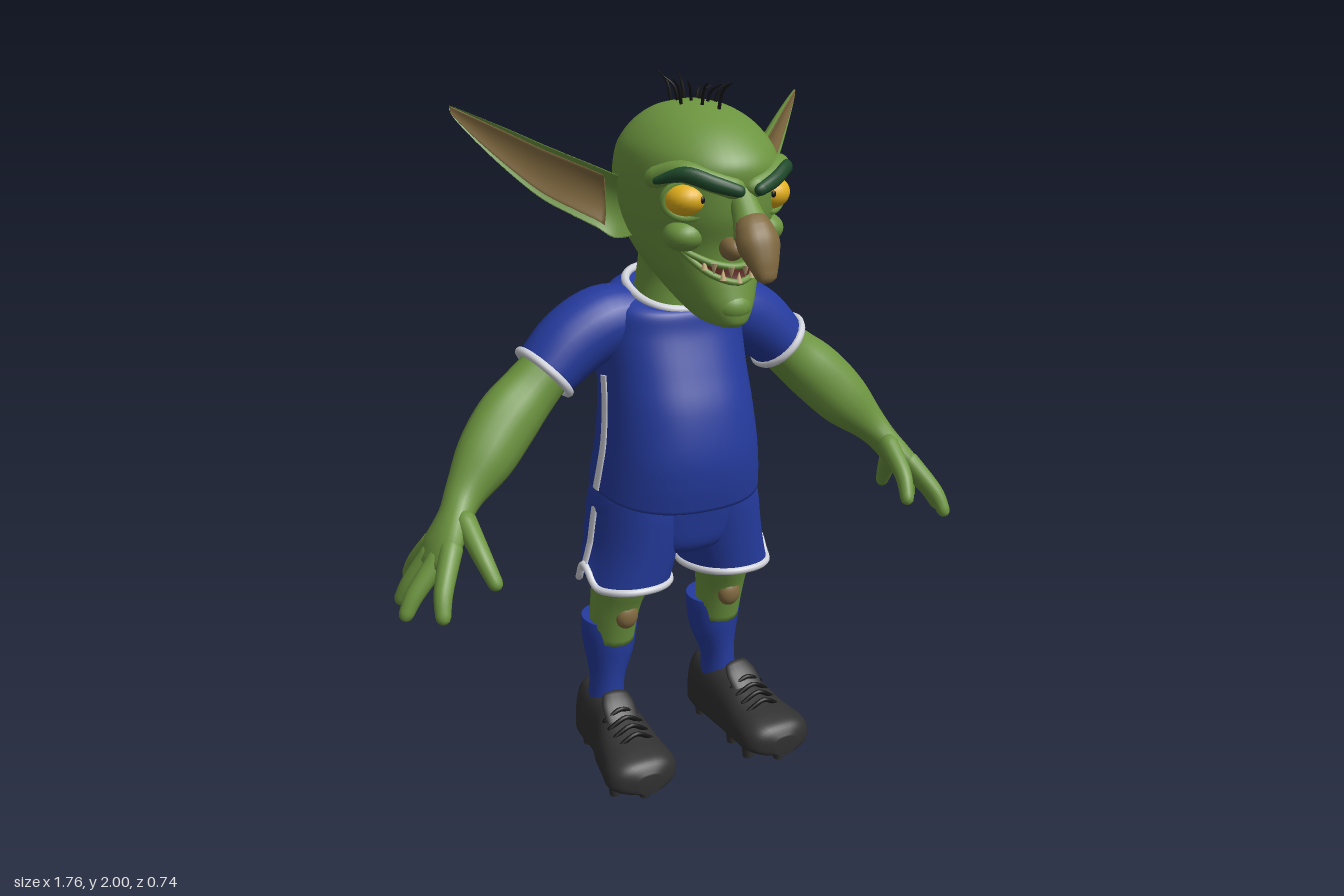
import * as THREE from 'three';

const V = (x, y, z) => new THREE.Vector3(x, y, z);
const mat = (name, color, side = THREE.FrontSide) => {
  const m = new THREE.MeshStandardMaterial({ color, side });
  m.name = name;
  return m;
};

// Catmull-Rom interpolation of rows of numbers
function dense(rows, steps = 5) {
  const out = [], n = rows.length - 1;
  for (let k = 0; k <= n * steps; k++) {
    const i = Math.min(Math.floor(k / steps), n - 1), t = k / steps - i;
    const b = rows[i], c = rows[i + 1], a = rows[Math.max(i - 1, 0)], d = rows[Math.min(i + 2, n)];
    out.push(b.map((v, q) => v + 0.5 * t * (c[q] - a[q]
      + t * (2 * a[q] - 5 * v + 4 * c[q] - d[q] + t * (3 * (v - c[q]) + d[q] - a[q])))));
  }
  return out;
}

// Closed skin over a list of rings, capped at both ends
function loft(rings) {
  const n = rings[0].length, m = rings.length, pos = [], idx = [];
  const mid = r => r.reduce((s, p) => s.add(p), V(0, 0, 0)).divideScalar(n);
  [...rings.flat(), mid(rings[0]), mid(rings[m - 1])].forEach(p => pos.push(p.x, p.y, p.z));
  for (let i = 0; i < n; i++) {
    const k = (i + 1) % n;
    for (let j = 0; j < m - 1; j++) {
      const a = j * n + i, b = j * n + k;
      idx.push(a, a + n, b, b, a + n, b + n);
    }
    idx.push(m * n, i, k, m * n + 1, (m - 1) * n + k, (m - 1) * n + i);
  }
  const g = new THREE.BufferGeometry();
  g.setAttribute('position', new THREE.Float32BufferAttribute(pos, 3));
  g.setIndex(idx);
  g.computeVertexNormals();
  return g;
}

const ring = (n, f) => Array.from({ length: n }, (_, i) => f(2 * Math.PI * i / n));
const spow = (v, e) => Math.sign(v) * Math.abs(v) ** e;

// Horizontal sections: [y, half width, back z, front z, tilt, centre x]
function bodyRings(rows, e = 0.95, notch = 0) {
  const all = dense(rows, 6);
  return all.map(([y, hw, zb, zf, tilt = 0, xc = 0], j) => ring(48, a => {
    const zc = zb + 0.45 * (zf - zb), s = spow(Math.sin(a), e);
    const z = zc + s * (s > 0 ? zf - zc : zc - zb);
    const da = Math.min(a, 2 * Math.PI - a);
    const lift = notch * Math.exp(-((da / 0.25) ** 2)) * Math.max(0, 1 - 2.5 * j / (all.length - 1));
    return V(xc + hw * spow(Math.cos(a), e), y + tilt * (z - zc) + lift, z);
  }));
}

// Swept limb: [x, y, z, radius along ref, radius across]
function limbRings(rows, ref = V(0, 0, 1), round = 1, sides = 16) {
  const d = dense(rows), n = d.length, out = [];
  const P = i => V(...d[Math.min(Math.max(i, 0), n - 1)].slice(0, 3));
  const add = (i, k) => {
    const t = P(i + 1).sub(P(i - 1)).normalize(), [, , , ra, rb] = d[i];
    const A = ref.clone().addScaledVector(t, -ref.dot(t)).normalize(), B = A.clone().cross(t);
    const c = P(i).addScaledVector(t, Math.sin(k) * Math.min(ra, rb)), f = Math.cos(k);
    out.push(ring(sides, a => c.clone().addScaledVector(A, ra * f * Math.cos(a)).addScaledVector(B, rb * f * Math.sin(a))));
  };
  if (round) [-1.5, -1.1, -0.6].forEach(k => add(0, k));
  for (let i = 0; i < n; i++) add(i, 0);
  if (round) [0.6, 1.1, 1.5].forEach(k => add(n - 1, k));
  return out;
}
const limb = (...args) => loft(limbRings(...args));
const trim = (pts, r) => new THREE.TubeGeometry(new THREE.CatmullRomCurve3(pts, true), 72, r, 8, true);
const ball = (x, y, z, sx, sy, sz) => new THREE.SphereGeometry(1, 24, 16).scale(sx, sy, sz).translate(x, y, z);

export function createModel() {
  const root = new THREE.Group();
  const skin = mat('green skin', 0x6c943f), brown = mat('brown skin', 0x80693f), blue = mat('blue cloth', 0x253b9e);
  const white = mat('white trim', 0xd2d4dc), shoe = mat('dark shoe', 0x303030), yellow = mat('yellow eye', 0xe2b01c);
  const browGreen = mat('dark green brow', 0x1f4a2b), mouthRed = mat('dark red mouth', 0x5c2620, THREE.DoubleSide);
  const tooth = mat('tooth', 0xc0a878), black = mat('black', 0x121212);
  const add = (name, geo, m) => {
    const o = new THREE.Mesh(geo, m);
    o.name = name;
    root.add(o);
  };
  const both = (name, geo, m) => {
    const g = geo.clone().scale(-1, 1, 1), ix = g.index.array;
    for (let i = 0; i < ix.length; i += 3) [ix[i], ix[i + 1]] = [ix[i + 1], ix[i]];
    add(name + 'Left', geo, m);
    add(name + 'Right', g, m);
  };

  // Head and neck
  const headRows = [[1.366, .03, .13, .2], [1.38, .06, .05, .215], [1.42, .09, -.03, .22], [1.47, .12, -.1, .21],
    [1.52, .15, -.15, .2], [1.58, .175, -.205, .205], [1.65, .192, -.245, .23], [1.72, .202, -.26, .24],
    [1.78, .2, -.255, .245], [1.83, .185, -.235, .212], [1.88, .145, -.19, .15], [1.915, .09, -.13, .07], [1.931, .025, -.06, 0]];
  add('head', loft(bodyRings(headRows)), skin);
  add('neck', loft(bodyRings([[1.36, .12, -.25, -.03], [1.45, .107, -.225, -.03], [1.55, .107, -.208, 0], [1.65, .12, -.22, 0]])), skin);
  const fine = dense(headRows, 8);
  const faceZ = (x, y) => {
    const [, hw, zb, zf] = fine.find(r => r[0] >= y), zc = zb + 0.45 * (zf - zb);
    return zc + (zf - zc) * Math.sqrt(Math.max(0, 1 - (x / hw) ** 2));
  };
  add('chin', ball(0, 1.42, .175, .055, .045, .05), skin);

  // Nose
  const X = V(1, 0, 0);
  add('noseBridge', limb([[0, 1.73, .205, .034, .03], [0, 1.67, .25, .04, .036], [0, 1.62, .285, .056, .045]], X), skin);
  add('noseTip', limb([[0, 1.635, .282, .052, .044], [0, 1.6, .305, .058, .047], [0, 1.56, .328, .044, .035], [0, 1.53, .342, .032, .023]], X), brown);
  both('nostril', ball(.048, 1.585, .255, .028, .03, .04), brown);

  // Eyes, lids, brows and cheeks
  both('eye', ball(.122, 1.703, .15, .058, .045, .062), yellow);
  both('pupil', ball(.105, 1.705, .208, .007, .009, .004), black);
  both('eyelid', new THREE.TorusGeometry(.06, .013, 8, 32).scale(1, .76, 1).rotateY(.55).translate(.124, 1.7, .168), skin);
  const brow = [[.03, 1.728, .262], [.09, 1.748, .24], [.15, 1.77, .195], [.192, 1.75, .13]];
  const Y = V(0, 1, 0);
  both('brow', limb(brow.map(([x, y, z], i) => [x, y, z, [.016, .02, .02, .01][i], .015]), Y), browGreen);
  both('browRidge', limb(brow.map(([x, y, z]) => [x * .95, y + .004, z - .028, .028, .028]), Y), skin);
  both('cheek', ball(.118, 1.608, .135, .055, .042, .055), skin);

  // Grinning mouth with lips and teeth
  const upper = x => 1.527 + 2.9 * x * x, lower = x => 1.487 + 5.2 * x * x;
  const mouth = new THREE.PlaneGeometry(2, 1, 24, 4), mp = mouth.attributes.position;
  for (let i = 0; i < mp.count; i++) {
    const x = mp.getX(i) * .128, y = THREE.MathUtils.lerp(lower(x), upper(x), mp.getY(i) + .5);
    mp.setXYZ(i, x, y, faceZ(x, y) + .006);
  }
  mouth.computeVertexNormals();
  add('mouth', mouth, mouthRed);
  for (const [name, f] of [['upperLip', upper], ['lowerLip', lower]]) {
    const pts = [-.13, -.1, -.06, 0, .06, .1, .13].map(x => [x, f(x), faceZ(x, f(x)) + .004, .009, .01]);
    add(name, limb(pts, Y), skin);
  }
  for (let i = -4; i <= 4; i++) {
    const x = i * .021, low = i % 2 === 0, y = low ? lower(x) + .014 : upper(x) - .014;
    const cone = new THREE.ConeGeometry(.01, .03, 8);
    if (!low) cone.rotateX(Math.PI);
    add('tooth', cone.translate(x, y, faceZ(x, y) + .012), tooth);
  }

  // Ears: [x, low y, high y, depth]
  const earRows = dense([[.165, 1.59, 1.73, .06], [.21, 1.577, 1.745, .065], [.25, 1.605, 1.765, .06], [.3, 1.635, 1.79, .05],
    [.36, 1.675, 1.82, .042], [.42, 1.735, 1.852, .034], [.48, 1.805, 1.882, .024], [.53, 1.872, 1.906, .012], [.543, 1.9, 1.911, .005]]);
  const back = V(-.67, 0, -.74);
  const ear = (rows, scale, depth) => loft(rows.map(([x, lo, hi, th]) => ring(24, a => {
    const c = Math.cos(a) * scale, s = Math.sin(a);
    return V(x, (lo + hi) / 2 + c * (hi - lo) / 2, -.06 - (x - .2) * .9).addScaledVector(back, depth(c, s, th));
  })));
  both('ear', ear(earRows, 1, (c, s, th) => s > 0 ? th * s : .45 * th * s * s), skin);
  both('innerEar', ear(earRows.slice(8, -2), .8, (c, s, th) => .45 * th * (1 - c * c) + .004 * spow(s, .5)), brown);

  // Sparse hair
  for (let i = 0; i < 12; i++) {
    const a = i * 2.4, r = .025 + .006 * i, dx = Math.cos(a), dz = Math.sin(a);
    const x = dx * r * .7, z = -.03 + dz * r * 1.2, h = .035 + .035 * ((i * 7) % 5) / 4;
    add('hair', limb([[x, 1.905, z, .005, .005], [x + dx * .012, 1.925 + h * .6, z + dz * .015, .004, .004],
      [x + dx * .04, 1.928 + h, z + dz * .05, .0015, .0015]], V(.3, .1, .9), 1, 6), black);
  }

  // Shirt with collar, sleeves and side stripes
  const shirt = bodyRings([[.86, .245, -.325, .068, -.2], [.93, .235, -.322, .085, -.14], [1, .225, -.318, .09, -.08], [1.1, .215, -.317, .07, 0],
    [1.2, .21, -.318, .035, 0], [1.3, .21, -.318, 0, 0], [1.37, .2, -.307, -.01, -.1], [1.405, .17, -.285, -.02, -.25], [1.42, .128, -.25, -.03, -.4]], .85);
  add('shirt', loft(shirt), blue);
  add('collar', trim(shirt.at(-1), .012), white);
  const sleeve = limbRings([[.08, 1.345, -.18, .1, .075], [.19, 1.33, -.185, .108, .1], [.29, 1.28, -.187, .102, .1], [.375, 1.207, -.185, .095, .086]], V(0, 0, 1), 0, 24);
  both('sleeve', loft(sleeve), blue);
  both('sleeveCuff', trim(sleeve.at(-1), .012), white);
  const stripe = rings => limb(rings.map(r => [r[0].x, r[0].y, r[0].z, .005, .018]), X, 0, 8);
  both('shirtStripe', stripe(shirt.slice(0, 24)), white);

  // Shorts
  add('shortsSeat', loft(bodyRings([[.655, .06, -.24, -.05], [.69, .18, -.285, .005], [.78, .248, -.315, .03], [.88, .235, -.31, .05]], .9)), blue);
  const leg = bodyRings([[.58, .124, -.272, .002, .05, .163], [.68, .124, -.295, .015, 0, .142], [.8, .12, -.31, .03, 0, .126], [.87, .11, -.3, .03, 0, .12]], .9, .06);
  both('shortsLeg', loft(leg), blue);
  both('shortsHem', trim(leg[0], .011), white);
  both('shortsStripe', stripe(leg), white);

  // Arms with spread hands
  both('arm', limb([[.33, 1.25, -.185, .07, .07], [.42, 1.165, -.18, .075, .08], [.5, 1.095, -.16, .08, .09], [.58, 1.01, -.13, .075, .083],
    [.65, .935, -.1, .055, .056], [.69, .885, -.075, .056, .043], [.74, .82, -.05, .085, .037], [.77, .785, -.045, .075, .025]]), skin);
  const fingers = {
    thumb: [[.68, .88, -.03], [.672, .81, .06], [.657, .75, .105]],
    indexFinger: [[.735, .825, .005], [.785, .74, .07], [.8, .685, .1]],
    middleFinger: [[.76, .795, -.02], [.83, .715, -.015], [.86, .665, -.01]],
    ringFinger: [[.76, .795, -.07], [.812, .715, -.1], [.835, .665, -.118]],
    littleFinger: [[.745, .81, -.105], [.773, .745, -.162], [.785, .7, -.192]],
  };
  for (const [name, pts] of Object.entries(fingers))
    both(name, limb(pts.map((p, i) => [...p, [.032, .026, .02][i], [.03, .025, .02][i]])), skin);

  // Legs, knees and socks
  both('leg', limb([[.178, .38, -.2, .065, .07], [.176, .5, -.175, .073, .08], [.165, .6, -.15, .085, .1], [.15, .68, -.14, .09, .1]], X, 0), skin);
  both('knee', ball(.172, .472, -.115, .036, .042, .028), brown);
  both('sock', limb([[.195, .15, -.215, .055, .062], [.19, .24, -.213, .05, .06], [.18, .33, -.22, .072, .079], [.178, .4, -.218, .082, .084], [.177, .437, -.216, .082, .082]], X, 0, 24), blue);

  // Studded shoes: [z, centre x, half width, top y]
  const shoeRows = dense([[-.322, .195, .025, .14], [-.312, .195, .055, .2], [-.25, .197, .07, .207], [-.15, .2, .076, .2], [-.08, .21, .088, .185],
    [0, .218, .1, .152], [.07, .225, .109, .132], [.11, .226, .085, .115], [.13, .226, .035, .085]]);
  both('shoe', loft(shoeRows.map(([z, xc, hw, top]) => ring(28, a => {
    const s = -spow(Math.sin(a), .8);
    return V(xc + hw * spow(Math.cos(a), .75), .06 + s * (s > 0 ? top - .06 : .035), z);
  }))), shoe);
  both('shoeTongue', limb([[.215, .16, -.06, .05, .015], [.21, .2, -.1, .05, .014], [.207, .222, -.125, .04, .012]], X), shoe);
  for (let i = 0; i < 4; i++) {
    const z = -.08 + i * .032, y = .192 - i * .012;
    both('lace', limb([[.165, y - .022, z, .007, .007], [.215, y + .006, z + .006, .007, .007], [.265, y - .022, z, .007, .007]], V(0, 0, 1), 1, 8), black);
  }
  for (const [x, z] of [[.165, -.27], [.228, -.27], [.155, -.06], [.26, -.06], [.15, .04], [.295, .04], [.225, .09]])
    both('stud', new THREE.CylinderGeometry(.02, .015, .04, 12).translate(x, .02, z), shoe);

  return root;
}
